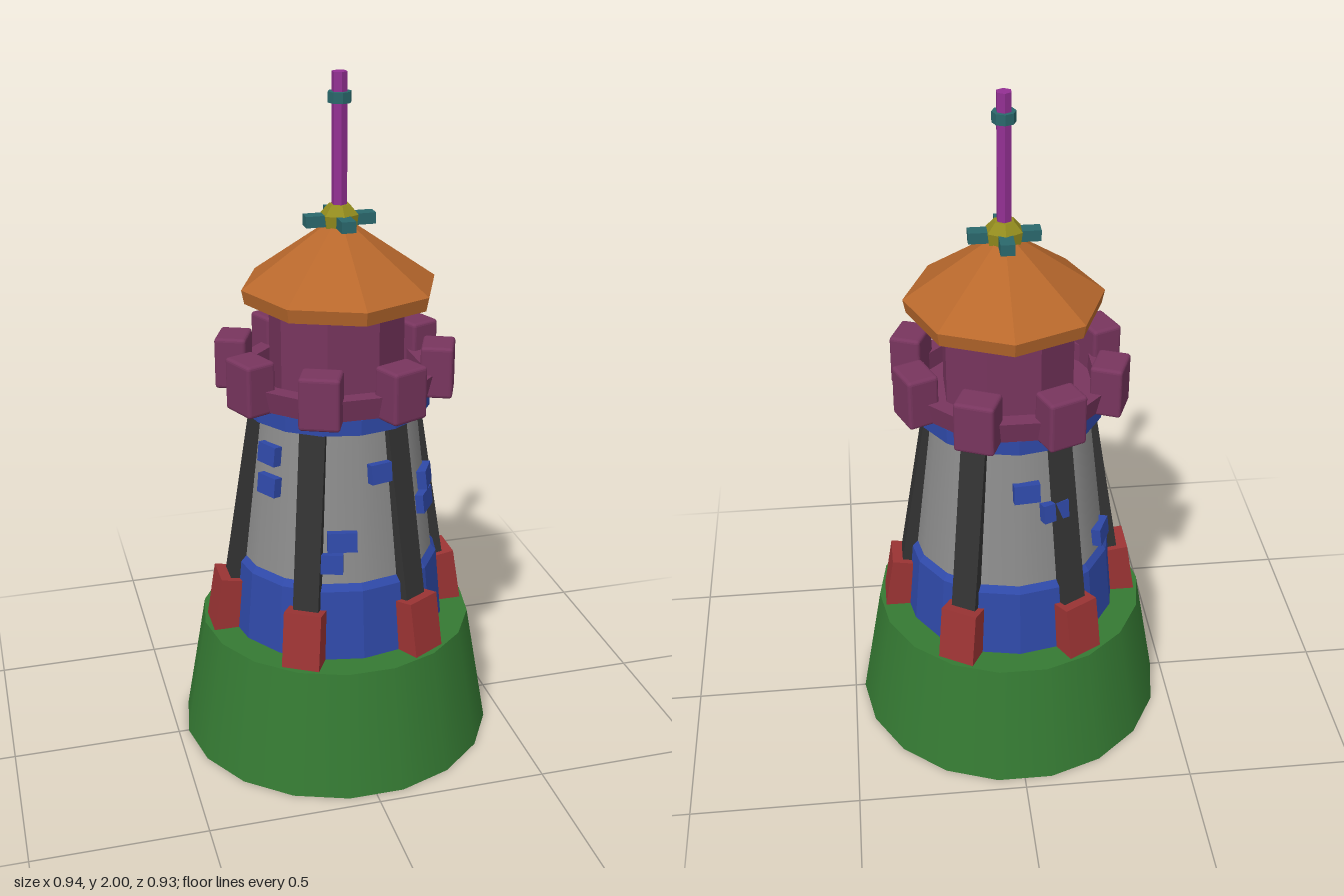
import * as THREE from 'three';
import { RoundedBoxGeometry } from 'three/addons/geometries/RoundedBoxGeometry.js';

const paint = (color, flatShading = true) =>
  new THREE.MeshStandardMaterial({ color, flatShading, side: THREE.DoubleSide });

const green = paint(0x357a33, false);
const blue = paint(0x2f49a8);
const stone = paint(0x8c8c8c, false);
const dark = paint(0x333333);
const red = paint(0x9c3434);
const purple = paint(0x78355e);
const orange = paint(0xb8682c);
const yellow = paint(0x938c1e);
const teal = paint(0x2a686c);
const magenta = paint(0x933093);

function add(parent, name, geometry, material, x = 0, y = 0, z = 0) {
  const mesh = new THREE.Mesh(geometry, material);
  mesh.name = name;
  mesh.position.set(x, y, z);
  parent.add(mesh);
  return mesh;
}

// Turned polygonal solid from [radius, height] pairs, listed bottom to top
const turned = (points, sides) =>
  new THREE.LatheGeometry(points.map(([r, y]) => new THREE.Vector2(r, y)), sides);

// Holder turned about the vertical axis; its local +z points outward
function spoke(parent, name, angle) {
  const group = new THREE.Group();
  group.name = name;
  group.rotation.y = angle;
  parent.add(group);
  return group;
}

export function createModel() {
  const model = new THREE.Group();
  model.name = 'tower';
  const lean = Math.atan2(0.085, 0.53); // inward slope of ribs and buttresses

  // Open-bottomed base with a flat terrace
  const base = spoke(model, 'base', Math.PI / 2);
  add(base, 'baseWall', new THREE.CylinderGeometry(0.405, 0.47, 0.375, 18, 1, true), green, 0, 0.1875, 0);
  const terrace = new THREE.RingGeometry(0.28, 0.405, 18).rotateX(-Math.PI / 2).rotateY(Math.PI / 2);
  add(base, 'terrace', terrace, green, 0, 0.375, 0);

  // Tower shaft and its bands
  add(model, 'lowerBand', turned([[0, 0.365], [0.325, 0.365], [0.305, 0.585], [0.288, 0.605], [0, 0.605]], 16), blue);
  add(model, 'shaft', new THREE.CylinderGeometry(0.235, 0.29, 0.47, 16, 1, true), stone, 0, 0.83, 0);
  add(model, 'upperBand', turned([[0, 1.055], [0.275, 1.055], [0.275, 1.1], [0, 1.1]], 16), blue);

  // Six leaning ribs with buttresses at their feet
  for (let i = 0; i < 6; i++) {
    const side = spoke(model, 'ribAndButtress', Math.PI / 6 + (i * Math.PI) / 3);
    const rib = add(side, 'rib', new THREE.BoxGeometry(0.075, 0.7, 0.05), dark, 0, 0.735, 0.272);
    rib.rotation.x = -lean;
    const buttress = add(side, 'buttress', new THREE.BoxGeometry(0.11, 0.17, 0.075), red, 0, 0.449, 0.337);
    buttress.rotation.x = -lean;
  }

  // Raised bricks: angle from the front in degrees, height, width
  const bricks = [
    [14, 0.925, 0.065], [-11, 0.735, 0.085], [-18, 0.67, 0.075],
    [62, 0.84, 0.08], [55, 0.78, 0.085],
    [-62, 0.96, 0.07], [-60, 0.87, 0.07],
    [-115, 0.66, 0.08], [-157, 0.84, 0.08], [-175, 0.915, 0.075],
  ];
  for (const [degrees, y, width] of bricks) {
    const side = spoke(model, 'brickHolder', THREE.MathUtils.degToRad(degrees));
    const r = 0.29 - (y - 0.595) * 0.117;
    const brick = add(side, 'brick', new THREE.BoxGeometry(width, 0.057, 0.04), blue, 0, y, r);
    brick.rotation.x = -0.116;
  }

  // Parapet, merlons and lantern room
  const crown = spoke(model, 'crown', Math.PI / 8);
  add(crown, 'parapet', turned([[0, 1.1], [0.295, 1.1], [0.31, 1.165], [0.26, 1.165], [0.26, 1.11], [0, 1.11]], 8), purple);
  add(crown, 'lanternRoom', turned([[0.195, 1.1], [0.195, 1.375]], 8), purple, 0.005);
  for (let i = 0; i < 8; i++) {
    const side = spoke(crown, 'merlonHolder', (i * Math.PI) / 4);
    add(side, 'merlon', new RoundedBoxGeometry(0.115, 0.152, 0.092, 2, 0.01), purple, 0, 1.171, 0.296);
  }

  // Eight-sided roof with a vertical eave
  const top = new THREE.Group();
  top.name = 'roofAndFinial';
  top.position.x = 0.013;
  model.add(top);
  add(top, 'roof', turned([[0, 1.37], [0.275, 1.37], [0.283, 1.41], [0.04, 1.582], [0, 1.582]], 8), orange);

  // Finial: collar, cross arms, pole and ring
  add(top, 'collar', turned([[0, 1.575], [0.05, 1.575], [0.055, 1.61], [0.03, 1.638], [0, 1.638]], 6), yellow);
  for (let i = 0; i < 4; i++) {
    const side = spoke(top, 'armHolder', (i * Math.PI) / 2);
    add(side, 'crossArm', new THREE.BoxGeometry(0.04, 0.032, 0.07), teal, 0, 1.595, 0.065);
  }
  add(top, 'pole', new THREE.CylinderGeometry(0.022, 0.022, 0.4, 6), magenta, 0, 1.8, 0);
  add(top, 'poleRing', new THREE.CylinderGeometry(0.033, 0.033, 0.03, 8), teal, 0, 1.932, 0);

  return model;
}
